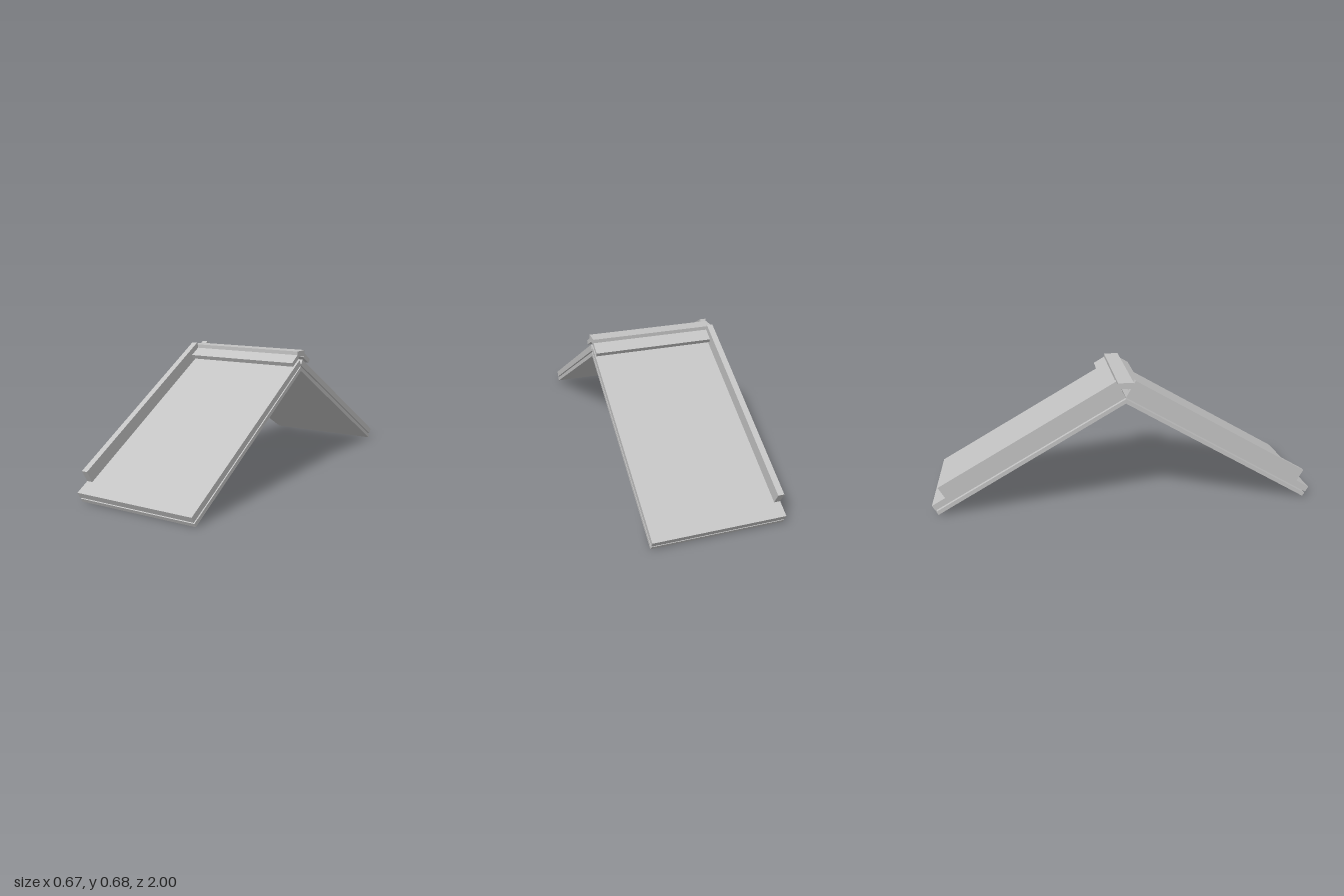
import * as THREE from 'three';

const grey = new THREE.MeshStandardMaterial({ color: 0xc2c2c2 });
grey.name = 'light grey';

const LEFT = 0.333, RIGHT = -0.333, RIB_INNER = -0.301;
const SIN = 0.5, COS = Math.sqrt(3) / 2; // 30 degree pitch

// Extrudes a [z, y] profile along x between x0 and x1
function prism(name, points, x0, x1) {
  const shape = new THREE.Shape(points.map(([z, y]) => new THREE.Vector2(-z, y)));
  const geo = new THREE.ExtrudeGeometry(shape, { depth: x1 - x0, bevelEnabled: false });
  geo.rotateY(Math.PI / 2).translate(x0, 0, 0);
  const mesh = new THREE.Mesh(geo, grey);
  mesh.name = name;
  return mesh;
}

// Point on a slope: s = distance up from the eave, h = height above the panel top
const onSlope = (side, s, h) => [side * (1 - s * COS + h * SIN), 0.052 + s * SIN + h * COS];

// Rectangular bar lying along the slope
const bar = (side, s0, s1, h0, h1) =>
  [[s0, h0], [s1, h0], [s1, h1], [s0, h1]].map(([s, h]) => onSlope(side, s, h));

export function createModel() {
  const model = new THREE.Group();
  model.name = 'roofRidge';
  const length = 1.136;

  for (const side of [1, -1]) {
    const slope = new THREE.Group();
    slope.name = side > 0 ? 'frontSlope' : 'backSlope';

    // Upper sheet, square cut at the ridge
    slope.add(prism('upperPanel', bar(side, 0, length, -0.032, 0), RIGHT, LEFT));

    // Thin lower sheet, mitred at the ridge
    slope.add(prism('lowerPanel', [
      onSlope(side, 0, -0.06), [0, 0.561], [0, 0.584], onSlope(side, 0, -0.0395),
    ], RIGHT, LEFT));

    // Raised seam along the right edge
    slope.add(prism('edgeRib', bar(side, 0.08, length, 0, 0.067), RIGHT, RIB_INNER));

    // Ridge flange hovering just above the panel
    slope.add(prism('ridgeFlange', [
      [side * 0.04, 0.649], [side * 0.1, 0.614], [side * 0.0885, 0.594], [side * 0.024, 0.631], [side * 0.028, 0.638],
    ], RIB_INNER, LEFT));
    model.add(slope);
  }

  // Flat cap closing the ridge between the seams
  model.add(prism('ridgeCap', [
    [0.04, 0.668], [0.04, 0.649], [0.028, 0.637],
    [-0.028, 0.637], [-0.04, 0.649], [-0.04, 0.668],
  ], RIGHT, LEFT));

  return model;
}
